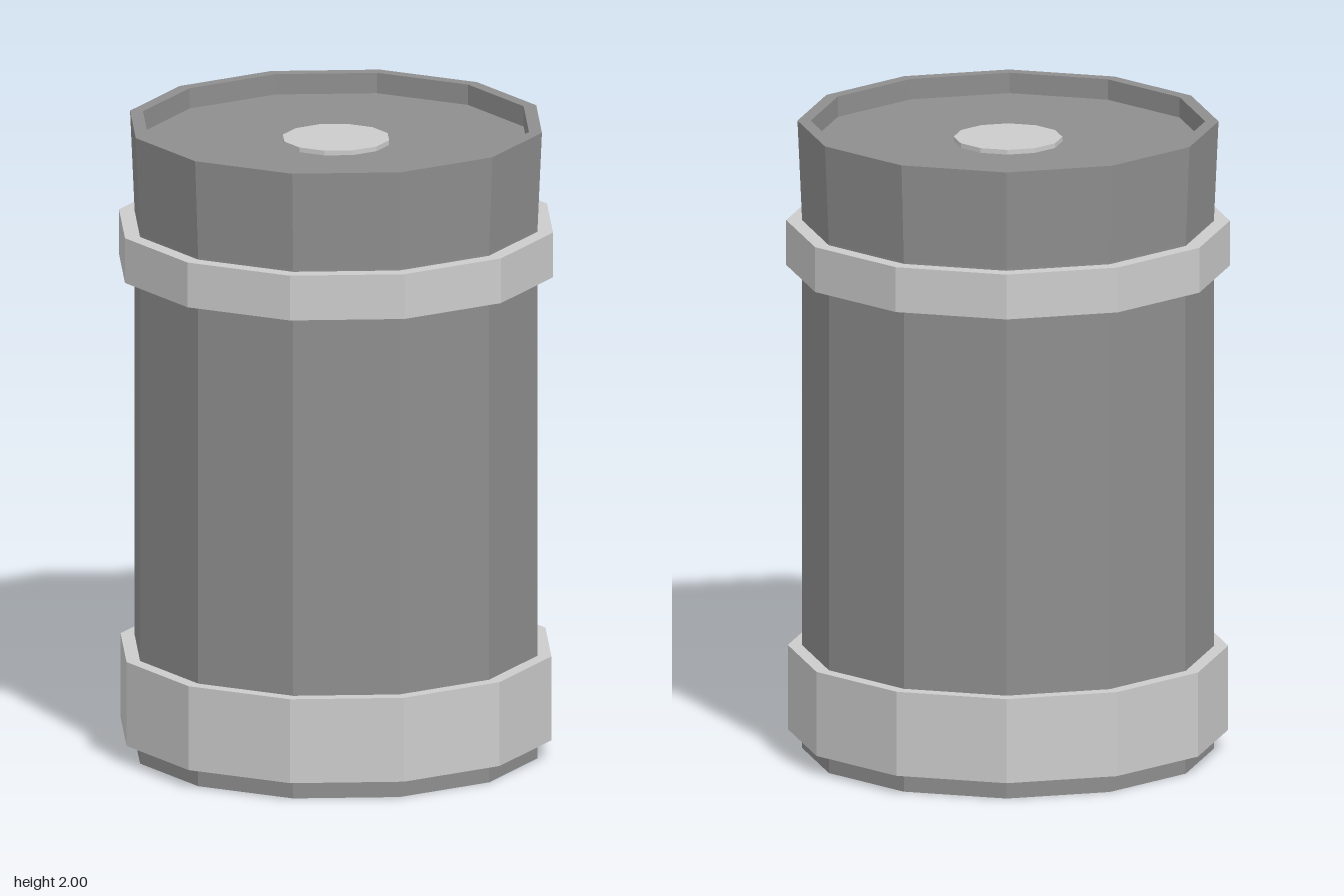
import * as THREE from 'three';

const SIDES = 12;

// Faceted ring or solid turned from [radius, y] points
function lathe(name, points, color) {
  const geometry = new THREE.LatheGeometry(points.map(([r, y]) => new THREE.Vector2(r, y)), SIDES);
  const mesh = new THREE.Mesh(geometry, new THREE.MeshStandardMaterial({ color, flatShading: true }));
  mesh.name = name;
  return mesh;
}

// Band around the body: bottom, outer wall and top
function band(name, radius, y0, y1) {
  return lathe(name, [[0.6, y0], [radius, y0], [radius, y1], [0.6, y1]], 0xcccccc);
}

export function createModel() {
  const group = new THREE.Group();
  group.name = 'canister';

  // Body with a recessed base, flared top, thin rim and sunken lid
  group.add(lathe('body', [
    [0, 0.053], [0.635, 0.053], [0.635, 0], [0.637, 0], [0.637, 1.69], [0.651, 2],
    [0.61, 2], [0.61, 1.935], [0, 1.935],
  ], 0x8e8e8e));

  group.add(band('lowerBand', 0.681, 0.06, 0.328));
  group.add(band('upperBand', 0.686, 1.54, 1.683));

  // Low disc in the middle of the lid
  group.add(lathe('lidButton', [[0.168, 1.93], [0.168, 1.95], [0, 1.95]], 0xcccccc));

  return group;
}
